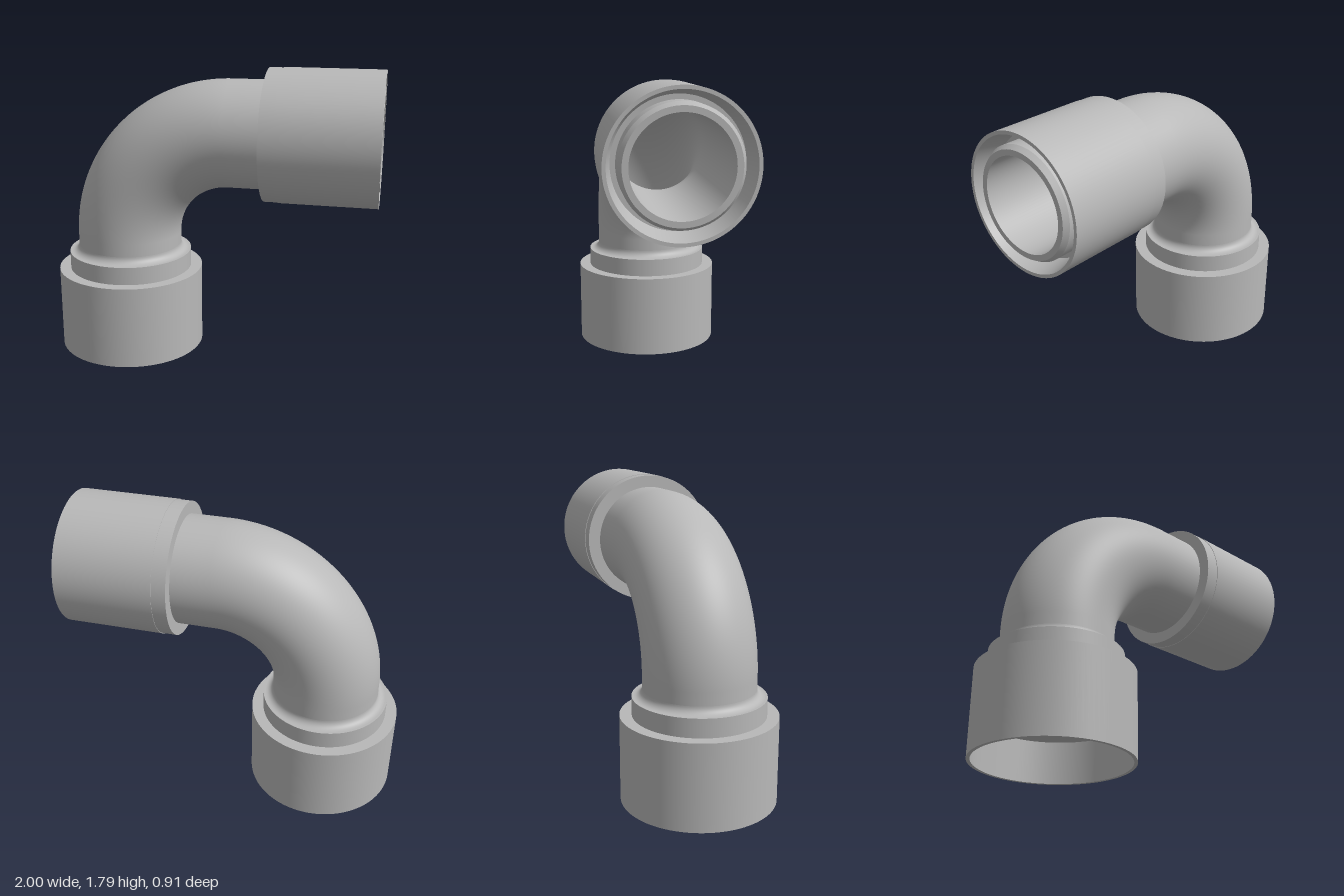
import * as THREE from 'three';
import { mergeGeometries } from 'three/addons/utils/BufferGeometryUtils.js';

const AXIS_X = -0.545;   // axis of the lower leg
const AXIS_Y = 1.39;     // axis of the side leg
const BEND = 0.65;       // centreline radius of the elbow
const CX = AXIS_X + BEND, CY = AXIS_Y - BEND;
const OUTER = 0.325, BORE = 0.27, SIDES = 96;

// Revolve a profile, keeping every corner sharp
function sharpLathe(points) {
  const rings = [];
  for (let i = 0; i < points.length - 1; i++) {
    const pair = [points[i], points[i + 1]].map(([r, h]) => new THREE.Vector2(r, h));
    rings.push(new THREE.LatheGeometry(pair, SIDES));
  }
  return mergeGeometries(rings);
}

// Turn an upright part onto the side leg
const toSide = (g) => g.rotateZ(-Math.PI / 2).translate(0, AXIS_Y, 0);
const toLower = (g) => g.translate(AXIS_X, 0, 0);

export function createModel() {
  const group = new THREE.Group();
  const grey = new THREE.MeshStandardMaterial({ color: 0xb8b8b8, side: THREE.DoubleSide });
  grey.name = 'grey plastic';

  const add = (name, geometry) => {
    const mesh = new THREE.Mesh(geometry, grey);
    mesh.name = name;
    group.add(mesh);
  };

  // Outer skin and bore of the curved pipe
  for (const [name, r] of [['elbow', OUTER], ['elbowBore', BORE]]) {
    add(name, new THREE.TorusGeometry(BEND, r, SIDES, 64, Math.PI / 2)
      .rotateZ(Math.PI / 2).translate(CX, CY, 0));
  }

  // Straight pipe ends between elbow and collars
  add('lowerPipe', toLower(sharpLathe([[OUTER, 0.665], [OUTER, CY]])));
  add('sidePipe', toSide(sharpLathe([[OUTER, CX], [OUTER, 0.33]])));

  // Lower socket: bore, inner ledge, thin wall, stepped shoulder
  add('lowerSocket', toLower(sharpLathe([
    [BORE, CY], [BORE, 0.25], [0.435, 0.25], [0.435, 0],
    [0.455, 0], [0.455, 0.51], [0.385, 0.51], [0.385, 0.62], [0.37, 0.62],
  ])));

  // Concave fillet from the shoulder up to the pipe
  const fillet = [];
  for (let i = 0; i <= 10; i++) {
    const a = (i / 10) * Math.PI / 2;
    fillet.push(new THREE.Vector2(0.37 - 0.045 * Math.sin(a), 0.665 - 0.045 * Math.cos(a)));
  }
  add('shoulderFillet', toLower(new THREE.LatheGeometry(fillet, SIDES)));

  // Side collar with a flared mouth around a chamfered inner spigot
  add('sideCollar', toSide(sharpLathe([
    [OUTER, 0.33], [0.397, 0.33], [0.397, 0.415], [0.4, 0.415], [0.4, 1],
    [0.38, 1], [0.35, 0.85], [0.322, 0.85],
  ])));
  add('sideSpigot', toSide(sharpLathe([
    [0.322, 0.85], [0.322, 0.97], [0.303, 1], [BORE, 1], [BORE, CX],
  ])));

  return group;
}
